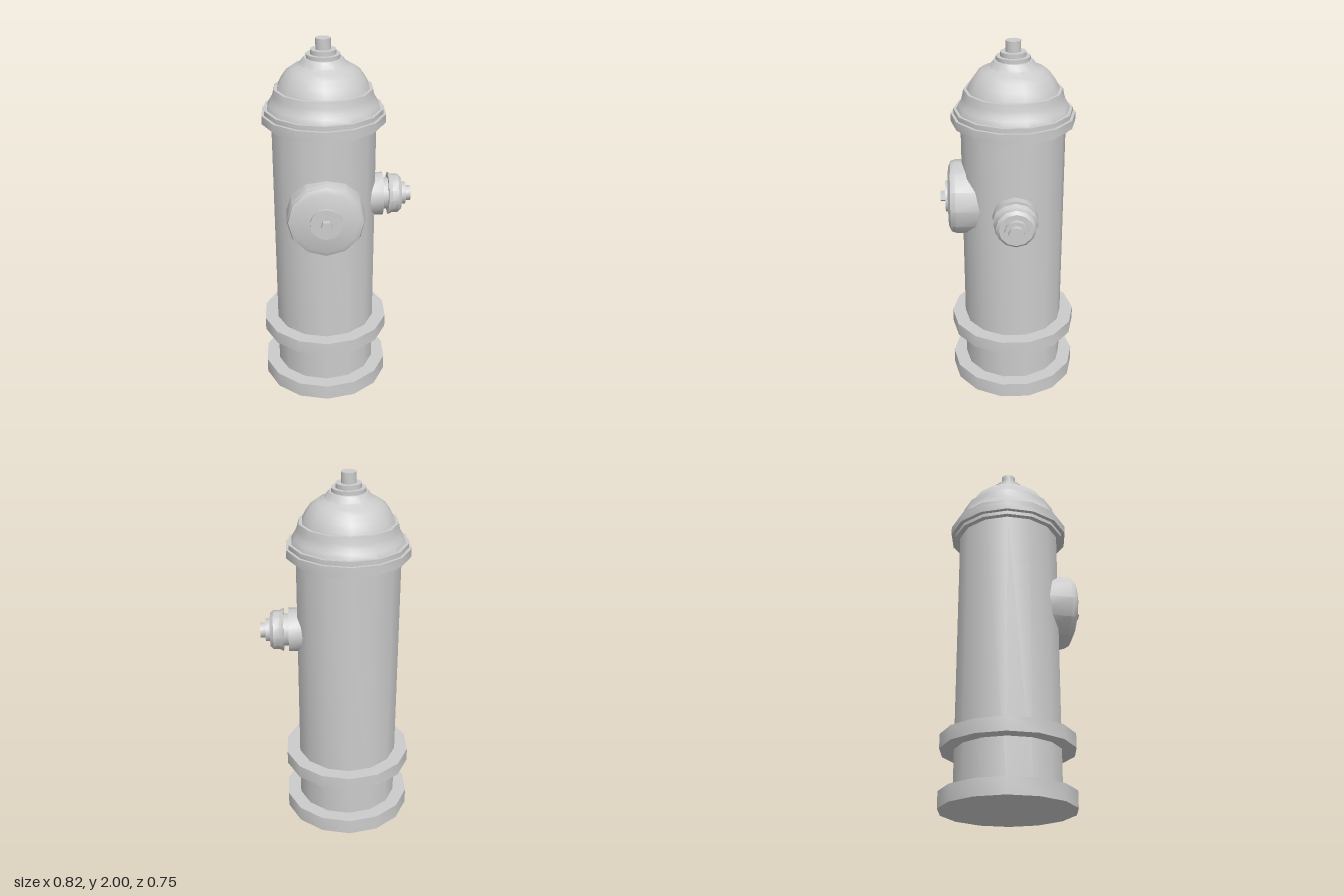
import * as THREE from 'three';
import { toCreasedNormals } from 'three/addons/utils/BufferGeometryUtils.js';

const AXIS_X = -0.065, AXIS_Z = -0.022, CAP_Y = 1.13;
const material = new THREE.MeshStandardMaterial({ color: 0xcccccc });

// Closed turned part from [radius, height] pairs, listed bottom to top.
function turned(name, profile, sides = 14) {
  const points = profile.map(([r, h]) => new THREE.Vector2(r, h));
  points.unshift(new THREE.Vector2(0, points[0].y));
  points.push(new THREE.Vector2(0, points[points.length - 1].y));
  // Enlarged while creasing so that close vertices stay distinct.
  let geometry = new THREE.LatheGeometry(points, sides).scale(100, 100, 100);
  geometry = toCreasedNormals(geometry, 0.56).scale(0.01, 0.01, 0.01);
  const mesh = new THREE.Mesh(geometry, material);
  mesh.name = name;
  return mesh;
}

const disc = (name, r, from, to, sides) => turned(name, [[r, from], [r, to]], sides);

function assembly(name, ...parts) {
  const group = new THREE.Group();
  group.name = name;
  group.add(...parts);
  return group;
}

export function createModel() {
  // Upright column with its two flanges
  const column = assembly('column',
    disc('baseFlange', 0.355, 0, 0.087),
    disc('barrel', 0.28, 0.05, 1.6),
    disc('lowerFlange', 0.355, 0.305, 0.38));

  // Stepped rim, flared bell, dome and stem
  const bonnet = assembly('bonnet',
    turned('rim', [[0.308, 1.55], [0.308, 1.57], [0.33, 1.57], [0.33, 1.615],
      [0.315, 1.615], [0.315, 1.64]]),
    turned('bell', [[0.3, 1.635], [0.3, 1.64], [0.287, 1.665], [0.275, 1.685],
      [0.267, 1.71], [0.26, 1.745]]),
    turned('dome', [[0.245, 1.74], [0.24, 1.755], [0.222, 1.79], [0.195, 1.828],
      [0.165, 1.85], [0.125, 1.868], [0.102, 1.9]]),
    turned('stem', [[0.09, 1.89], [0.09, 1.92], [0.068, 1.92], [0.068, 1.943],
      [0.04, 1.943], [0.04, 2]]));

  // Large front outlet, built along y then turned to face +z
  const frontOutlet = assembly('frontOutlet',
    turned('frontCap', [[0.205, 0.1], [0.205, 0.315], [0.196, 0.342], [0.168, 0.355]], 12),
    disc('frontPlate', 0.085, 0.35, 0.372, 14),
    disc('frontNut', 0.031, 0.37, 0.4, 5));
  frontOutlet.position.y = CAP_Y;
  frontOutlet.rotation.x = Math.PI / 2;

  // Small side outlet, built along y then turned to face +x
  const sideOutlet = assembly('sideOutlet',
    disc('sideCollar', 0.118, 0.2, 0.32, 12),
    disc('sideNeck', 0.087, 0.3, 0.36, 12),
    turned('sideCap', [[0.118, 0.348], [0.106, 0.37], [0.106, 0.403], [0.09, 0.42]], 12),
    disc('sidePlate', 0.061, 0.41, 0.445, 12),
    disc('sideNut', 0.041, 0.44, 0.473, 12));
  sideOutlet.position.y = CAP_Y;
  sideOutlet.rotation.z = -Math.PI / 2;

  const model = assembly('hydrant', column, bonnet, frontOutlet, sideOutlet);
  model.position.set(AXIS_X, 0, AXIS_Z);
  return assembly('model', model);
}
